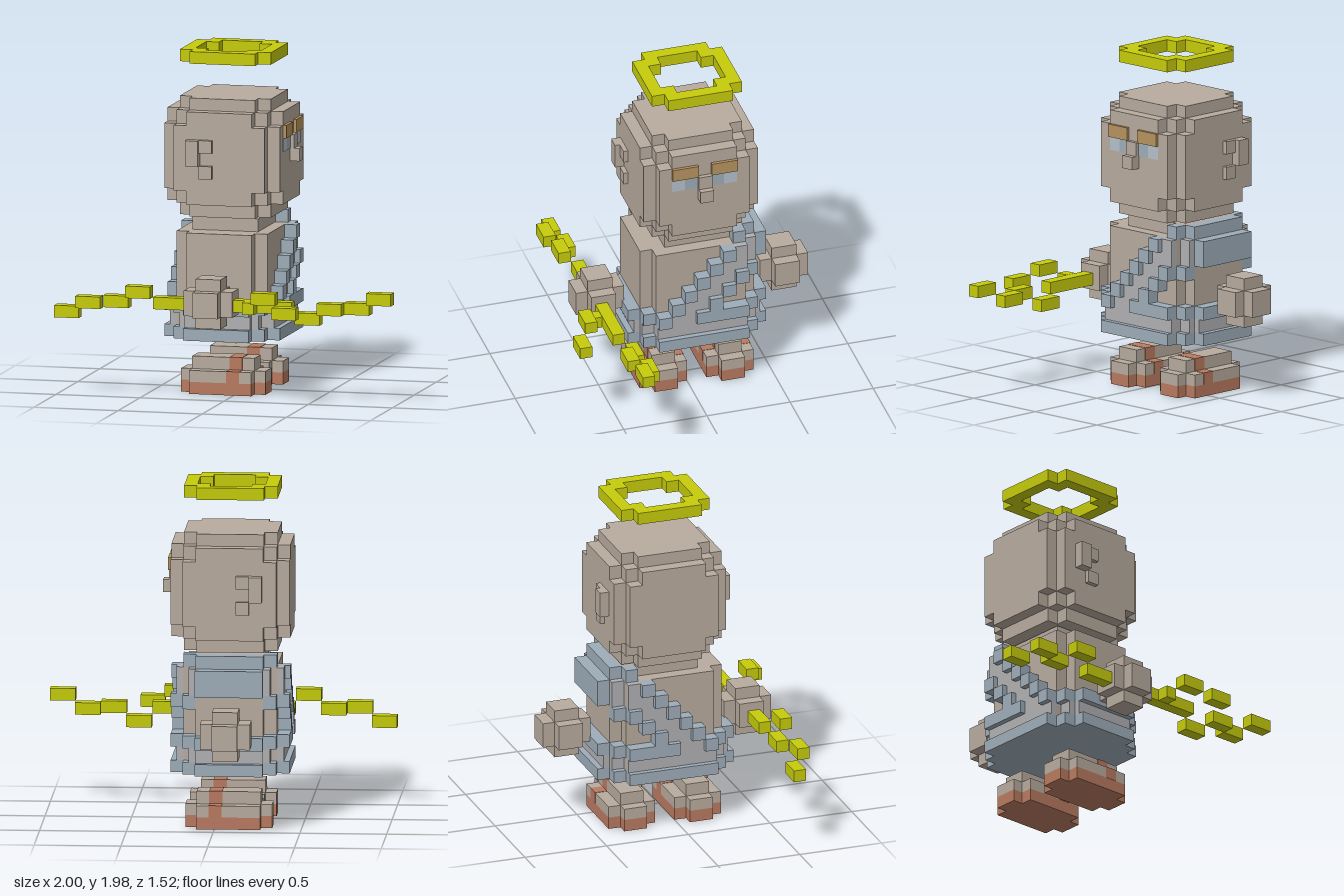
import * as THREE from 'three';

const material = (color) => new THREE.MeshStandardMaterial({ color });
const skin = material(0xb8ab9e), blue = material(0x9eadb9), cloth = material(0xb1b1b3);
const gold = material(0xc6cc0c), brown = material(0xb7935f), orange = material(0xb97a60);
const pale = material(0xb4c0ca);

// Block between two values on each axis
function block(parent, name, mat, x0, x1, y0, y1, z0, z1) {
  const g = new THREE.BoxGeometry(Math.abs(x1 - x0), Math.abs(y1 - y0), Math.abs(z1 - z0));
  const m = new THREE.Mesh(g, mat);
  m.position.set((x0 + x1) / 2, (y0 + y1) / 2, (z0 + z1) / 2);
  m.name = name;
  parent.add(m);
  return m;
}

// Centred layer with stepped corners, from pairs of half widths
function layer(parent, name, mat, y0, y1, pairs) {
  for (const [x, z] of pairs) block(parent, name, mat, -x, x, y0, y1, -z, z);
}

// Steps outward from the centre line of the body
const A = 0.195, B = 0.27, C = 0.343, D = 0.416;

function group(parent, name, x = 0, y = 0, z = 0) {
  const g = new THREE.Group();
  g.name = name;
  g.position.set(x, y, z);
  parent.add(g);
  return g;
}

function buildHead(root) {
  const head = group(root, 'head', -0.0875, 0, -0.06);
  const cap = [[B, A], [A, B]], rim = [[C, A], [B, B], [A, C]], middle = [[C, B], [B, C]];
  layer(head, 'skull', skin, 1.02, 1.1, cap);
  layer(head, 'skull', skin, 1.1, 1.18, rim);
  layer(head, 'skull', skin, 1.18, 1.56, middle);
  layer(head, 'skull', skin, 1.56, 1.64, rim);
  layer(head, 'skull', skin, 1.64, 1.71, cap);

  for (const s of [-1, 1]) {
    // Curled ear
    block(head, 'ear', skin, -0.188, -0.113, 1.33, 1.48, s * C, s * 0.398);
    block(head, 'earTip', skin, -0.113, -0.038, 1.405, 1.48, s * C, s * 0.37);
    block(head, 'earLobe', skin, -0.113, -0.038, 1.255, 1.33, s * C, s * 0.37);
    // Eye and brow
    block(head, 'eyebrow', brown, C, 0.362, 1.485, 1.56, s * 0.04, s * A);
    block(head, 'eyeIris', blue, C, 0.346, 1.405, 1.485, s * 0.04, s * 0.117);
    block(head, 'eyeWhite', pale, C, 0.346, 1.405, 1.485, s * 0.117, s * A);
  }
  block(head, 'noseBridge', skin, C, 0.368, 1.405, 1.485, -0.04, 0.04);
  block(head, 'nose', skin, C, 0.4, 1.33, 1.405, -0.04, 0.04);

  // Halo: a stepped ring
  const halo = group(head, 'halo');
  for (const s of [-1, 1]) {
    block(halo, 'haloSide', gold, s * A, s * B, 1.91, 1.98, -A, A);
    block(halo, 'haloEnd', gold, -A, A, 1.91, 1.98, s * A, s * B);
    for (const t of [-1, 1])
      block(halo, 'haloCorner', gold, s * 0.12, s * A, 1.91, 1.98, t * 0.12, t * A);
  }
}

function buildBody(root) {
  const body = group(root, 'body', -0.0875, 0, -0.06);
  layer(body, 'torso', skin, 0.39, 0.935, [[B, B], [A, C]]);
  block(body, 'shoulders', skin, -A, A, 0.935, 1.01, -B, A);

  // Skirt and hem
  const ring = [[C, B], [B, C], [A, D]];
  layer(body, 'hem', blue, 0.32, 0.39, ring);
  layer(body, 'skirt', cloth, 0.39, 0.47, [[0.31, B], [0.235, C], [A, 0.38]]);
  // Belt, open at the middle of chest and back
  layer(body, 'belt', blue, 0.47, 0.545, [[B, C], [A, D]]);

  // Diagonal trims with cloth between: y, neckline trim, armhole trim
  const rows = [
    [0.47, 0.27, 0.193, 0.042, -0.27],
    [0.545, 0.193, 0.115, -0.037, -0.115],
    [0.625, 0.115, 0.042, -0.115, -0.194],
    [0.7, 0.042, -0.037, -0.194, -0.27],
    [0.78, -0.037, -0.115, -0.27, -0.27],
    [0.858, -0.115, -0.194, -0.27, -0.27],
  ];
  for (const s of [-1, 1]) {
    rows.forEach(([y, n0, n1, a0, a1], i) => {
      const top = i < 5 ? rows[i + 1][0] : 0.935;
      block(body, 'necklineTrim', blue, s * B, s * C, y, top, n0, n1);
      block(body, 'tunic', cloth, s * B, s * 0.31, y, top, n1, a0);
      if (a0 !== a1) block(body, 'armholeTrim', blue, s * B, s * C, y, top, a0, a1);
    });
    block(body, 'armholeCorner', blue, s * A, s * B, 0.7, 0.78, -B, -C);
    block(body, 'tunicCorner', cloth, s * A, s * 0.235, 0.78, 0.935, -B, -C);
    block(body, 'shoulderTrim', blue, s * A, s * B, 0.935, 1.01, -A, -B);
  }
  block(body, 'shoulderStrap', blue, -A, A, 0.78, 0.935, -C, -D);
  block(body, 'shoulderStrapTop', blue, -A, A, 0.935, 1.01, -B, -C);
}

// Hand: three crossing bars
function buildHand(root, name, y, z) {
  const hand = group(root, name, -0.08, y, z);
  const l = 0.144, m = 0.074;
  for (const [x, h, d] of [[l, m, m], [m, l, m], [m, m, l]])
    block(hand, 'fist', skin, -x, x, -h, h, -d, d);
}

function buildFoot(root, name, z) {
  const foot = group(root, name, -0.08, 0, z);
  const outline = [[0.25, 0.07], [0.185, 0.142]];
  layer(foot, 'sole', orange, 0, 0.07, outline);
  layer(foot, 'shoe', skin, 0.07, 0.137, outline);
  layer(foot, 'ankle', skin, 0.137, 0.21, [[0.185, 0.07]]);
  // Sandal strap
  block(foot, 'strap', orange, 0.037, 0.113, 0.07, 0.139, -0.144, 0.144);
  block(foot, 'strapTop', orange, 0.037, 0.113, 0.137, 0.212, -0.072, 0.072);
}

// Zigzag bolt held across the hand: x from, x to, y, z
function buildBolt(root) {
  const bolt = group(root, 'bolt');
  const pieces = [
    [-1, -0.855, 0.455, 0.465], [-0.855, -0.708, 0.525, 0.54], [-0.708, -0.56, 0.525, 0.465],
    [-0.56, -0.412, 0.595, 0.54], [-0.412, 0.41, 0.525, 0.465], [0.135, 0.205, 0.525, 0.54],
    [0.205, 0.35, 0.595, 0.613], [0.35, 0.492, 0.525, 0.687], [0.41, 0.558, 0.455, 0.393],
    [0.558, 0.705, 0.525, 0.465], [0.705, 0.853, 0.525, 0.393], [0.853, 1, 0.595, 0.465],
  ];
  for (const [x0, x1, y, z] of pieces)
    block(bolt, 'boltPiece', gold, x0, x1, y, y + 0.07, z, z + 0.073);
}

export function createModel() {
  const root = new THREE.Group();
  root.name = 'figure';
  buildHead(root);
  buildBody(root);
  buildHand(root, 'boltHand', 0.57, 0.488);
  buildHand(root, 'freeHand', 0.588, -0.618);
  buildFoot(root, 'nearFoot', 0.142);
  buildFoot(root, 'farFoot', -0.26);
  buildBolt(root);
  return root;
}
